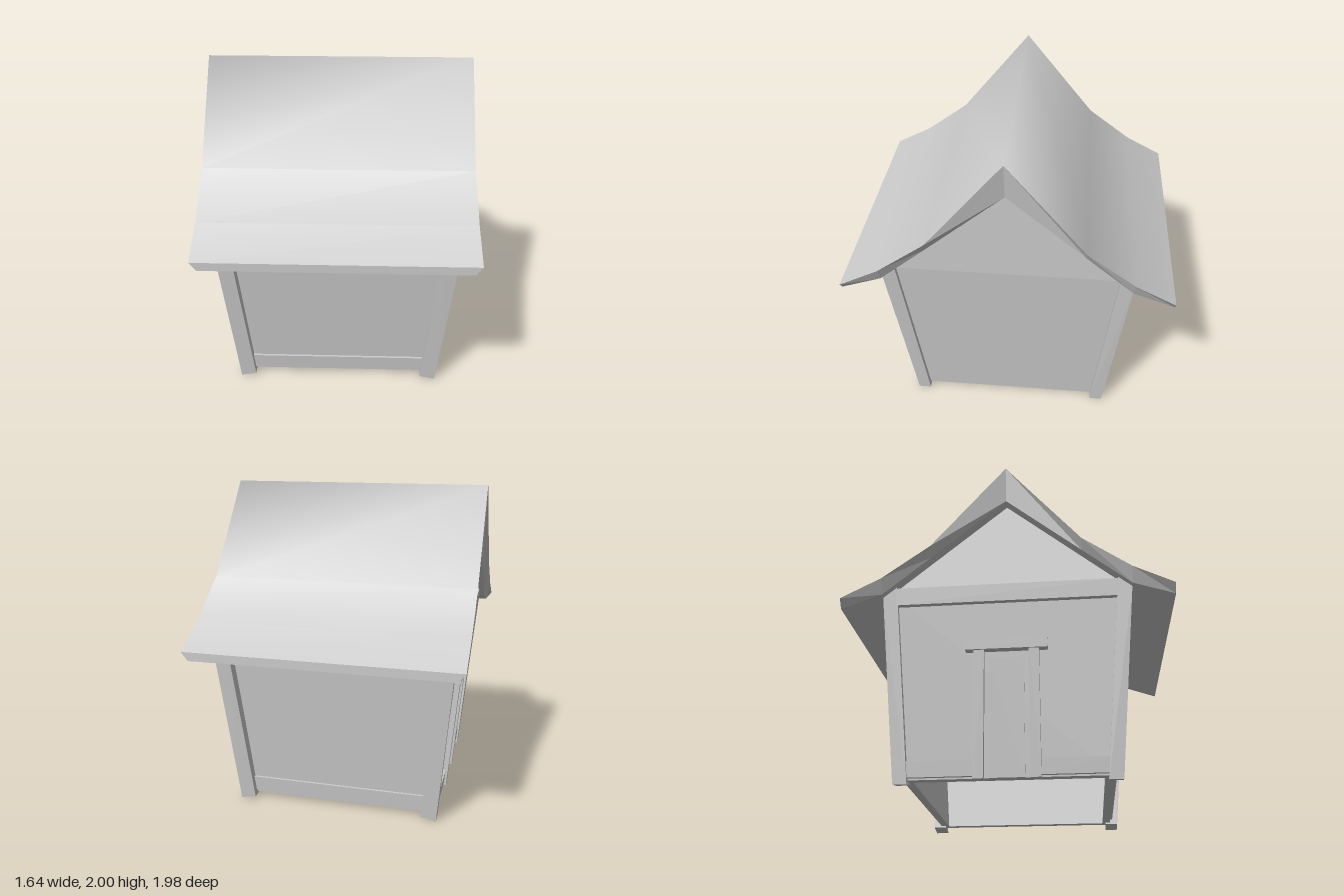
import * as THREE from 'three';
import { ConvexGeometry } from 'three/addons/geometries/ConvexGeometry.js';

const grey = new THREE.MeshStandardMaterial({ color: 0xcccccc, side: THREE.DoubleSide });

// Half depth and half width of the outward-leaning walls at height y
const wallZ = (y) => 0.585 + 0.1 * (y - 0.03);
const wallX = (y) => 0.612 + 0.092 * (y - 0.03);

// Band of quads between two point rows; smooth shares normals along the band
function strip(a, b, smooth = false) {
  const index = [];
  for (let i = 0; i < a.length - 1; i++) {
    const n = a.length + i;
    index.push(i, n, n + 1, i, n + 1, i + 1);
  }
  let g = new THREE.BufferGeometry();
  g.setAttribute('position', new THREE.Float32BufferAttribute([...a, ...b].flat(), 3));
  g.setIndex(index);
  if (!smooth) g = g.toNonIndexed();
  g.computeVertexNormals();
  return g;
}

function createModel() {
  const model = new THREE.Group();
  model.name = 'house';
  const add = (name, geometry, parent = model) => {
    const mesh = new THREE.Mesh(geometry, grey);
    mesh.name = name;
    parent.add(mesh);
  };
  const solid = (name, points) =>
    add(name, new ConvexGeometry(points.map((p) => new THREE.Vector3(...p))));

  // Hollow walls, open underneath
  const walls = new THREE.Group();
  walls.name = 'walls';
  model.add(walls);
  const ring = (y, inset) =>
    [[1, 1], [1, -1], [-1, -1], [-1, 1], [1, 1]].map(([sx, sz]) =>
      [sx * (wallX(y) - inset), y, sz * (wallZ(y) - inset)]);
  const rings = [ring(0.03, 0), ring(1.17, 0), ring(1.17, 0.05), ring(0.03, 0.05)];
  ['outerWalls', 'wallTop', 'innerWalls', 'wallRim'].forEach((name, i) => {
    const lower = rings[i], upper = rings[(i + 1) % 4];
    // rows run around the house, so each band faces away from the wall core
    add(name, strip(upper, lower), walls);
  });

  // Upright gable triangles above the leaning walls
  for (const s of [1, -1]) {
    const outer = wallX(1.17), z = wallZ(1.17);
    solid('gable', [outer, outer - 0.05].flatMap((x) =>
      [[s * x, 1.17, z], [s * x, 1.17, -z], [s * x, 1.772, 0]]));
  }

  // Leaning corner posts, cut to the slope of the roof
  for (const sx of [1, -1]) for (const sz of [1, -1]) {
    const points = [];
    for (const x of [0.545, 0.64]) for (const z of [0.555, 0.635]) {
      points.push([sx * x, x < 0.6 ? 0.02 : 0, sz * z]);
      const topZ = z + 0.113;
      points.push([sx * (x + 0.105), 1.775 - 0.859 * topZ, sz * topZ]);
    }
    solid('cornerPost', points);
  }

  // Boards lying on the leaning walls; out is how far they stand proud
  function longBoard(name, s, y0, y1, half0, half1, out) {
    solid(name, [[y0, half0], [y1, half1]].flatMap(([y, h]) =>
      [-0.02, out].flatMap((o) => [-h, h].map((x) => [x, y, s * (wallZ(y) + o)]))));
  }
  function doorSideBoard(name, y0, y1, z0, z1, out) {
    solid(name, [y0, y1].flatMap((y) =>
      [-0.02, out].flatMap((o) => [z0, z1].map((z) => [-(wallX(y) + o), y, z]))));
  }
  for (const s of [1, -1]) {
    longBoard('baseBoard', s, 0.05, 0.15, 0.56, 0.57, 0.015);
    longBoard('eaveBeam', s, 1.05, 1.15, 0.65, 0.66, 0.02);
  }

  // Door side: cross beam, base boards, door and frame
  doorSideBoard('crossBeam', 1.08, 1.19, -0.67, 0.67, 0.03);
  doorSideBoard('doorPanel', 0.03, 0.73, -0.1, 0.1, 0.008);
  doorSideBoard('doorLintel', 0.77, 0.83, -0.24, 0.24, 0.045);
  for (const s of [1, -1]) {
    doorSideBoard('doorJamb', 0.022, 0.78, s * 0.13, s * 0.19, 0.035);
    doorSideBoard('doorSideBaseBoard', 0.04, 0.13, s * 0.18, s * 0.57, 0.02);
  }

  // Sweeping roof, with ends bevelled in towards the underside
  const roof = new THREE.Group();
  roof.name = 'roof';
  model.add(roof);
  const mirrored = (half) => [...half, ...half.slice(0, -1).reverse().map(([z, y]) => [-z, y])];
  const top = mirrored([[0.99, 1.1], [0.75, 1.225], [0.46, 1.44], [0, 2]]);
  const under = mirrored([[0.99, 1.048], [0.747, 1.135], [0.46, 1.38], [0, 1.775]]);
  const row = (profile, x) => profile.map(([z, y]) => [x, y, z]);
  const topL = row(top, -0.82), topR = row(top, 0.82);
  const underL = row(under, -0.78), underR = row(under, 0.78);
  add('roofTop', strip(topL, topR, true), roof);
  add('roofUnderside', strip(underR, underL), roof);
  add('leftRoofEnd', strip(topR, underR), roof);
  add('rightRoofEnd', strip(underL, topL), roof);
  const e = top.length - 1;
  add('frontEave', strip([underL[0], topL[0]], [underR[0], topR[0]]), roof);
  add('backEave', strip([topL[e], underL[e]], [topR[e], underR[e]]), roof);

  return model;
}

export { createModel };
